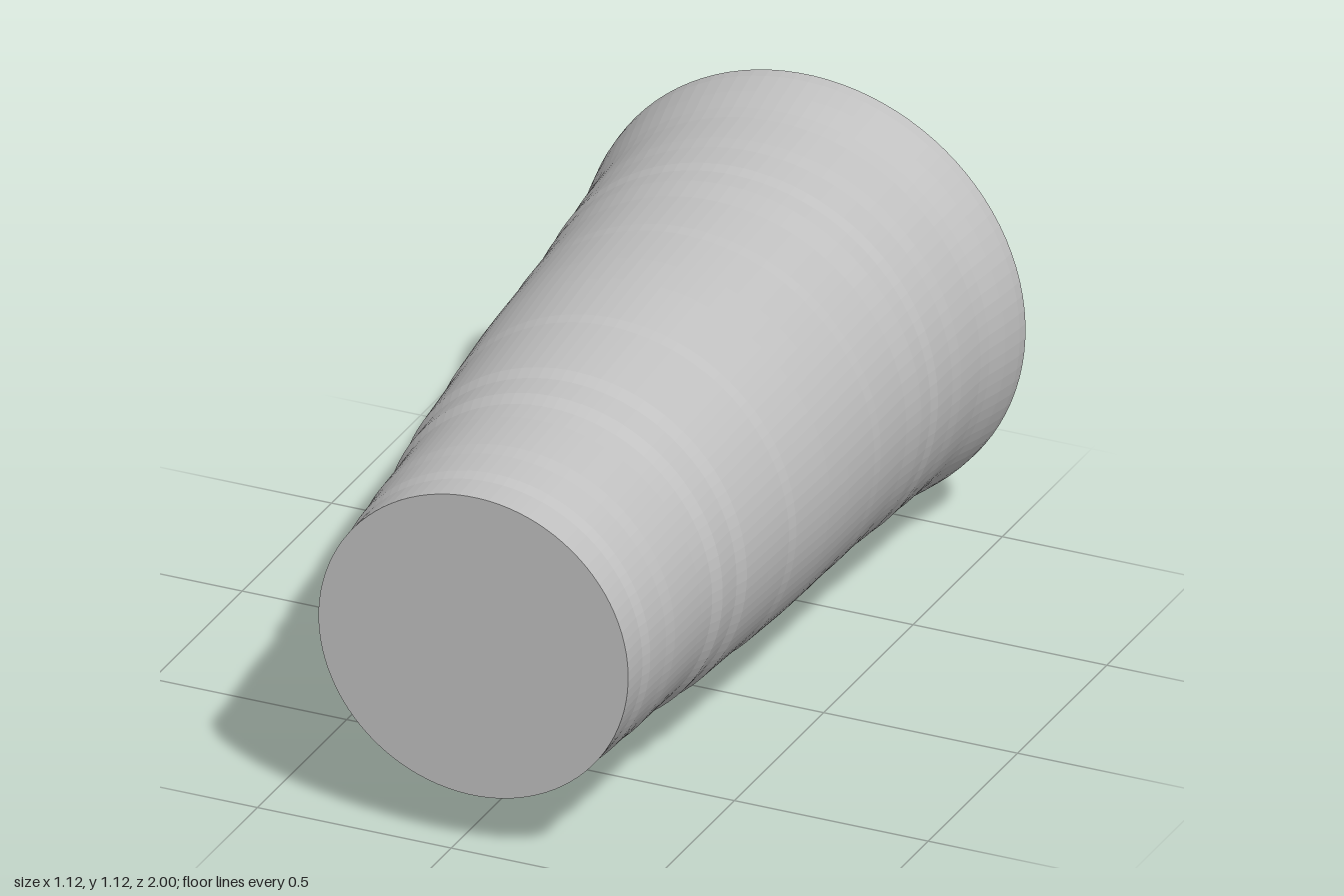
import * as THREE from 'three';

export function createModel() {
  const group = new THREE.Group();
  group.name = 'cup';
  const grey = new THREE.MeshStandardMaterial({ color: 0xc0c0c0, flatShading: true });
  grey.name = 'plain grey';

  // Outer wall: distance from the base, radius; small steps make the ridges
  const outer = [
    [0, 0.395], [0.085, 0.395], [0.115, 0.402], [0.2, 0.406], [0.24, 0.411],
    [0.38, 0.416], [0.44, 0.42], [0.475, 0.432], [0.55, 0.435], [0.585, 0.446],
    [0.7, 0.454], [0.8, 0.461], [0.83, 0.467], [1.0, 0.48], [1.1, 0.485],
    [1.24, 0.49], [1.27, 0.493], [1.41, 0.498], [1.48, 0.506], [1.53, 0.508],
    [1.56, 0.514], [1.64, 0.517], [1.68, 0.522], [1.78, 0.528], [1.82, 0.534],
    [1.88, 0.548], [1.94, 0.559], [1.97, 0.561],
  ];
  const wall = 0.057;
  // Inner wall follows the outer one at a constant thickness, down to the floor
  const inner = outer.slice(1).reverse().map(([t, r]) => [t, r - wall]);
  const floor = [[wall, 0.338], [wall, 0]];
  const profile = [[0, 0], ...outer, ...inner, ...floor]
    .map(([t, r]) => new THREE.Vector2(r, t));

  // Cup lying down, base to the front, on a slightly tilted axis
  const cup = new THREE.Mesh(new THREE.LatheGeometry(profile, 96), grey);
  cup.name = 'ridgedCupBody';
  const axis = new THREE.Vector3(-0.05, 0.0265, -1.97).normalize();
  cup.quaternion.setFromUnitVectors(new THREE.Vector3(0, 1, 0), axis);
  cup.position.set(0.05, 0.535, 0.985);
  group.add(cup);
  return group;
}
